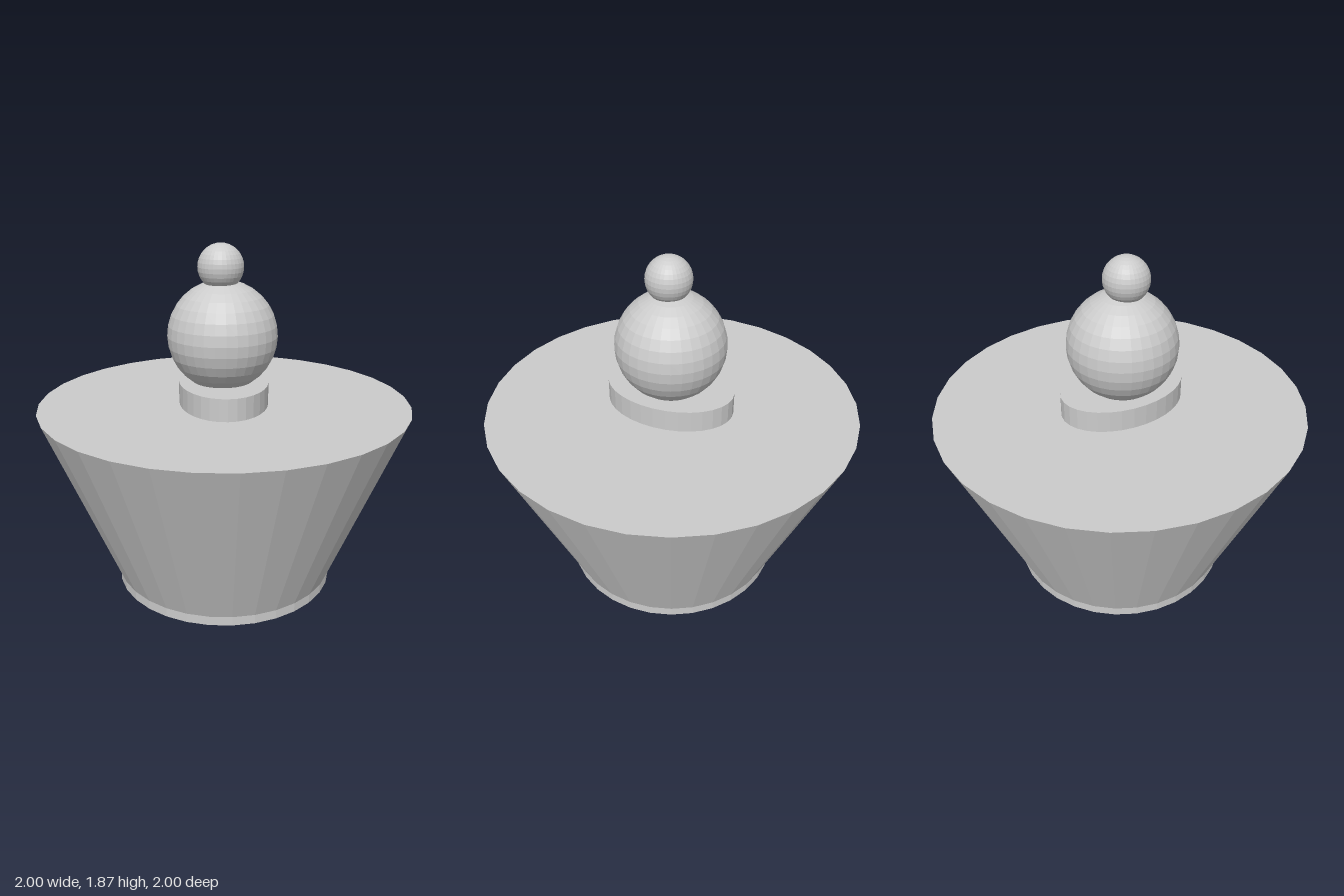
import * as THREE from 'three';

const SIDES = 32;

export function createModel() {
  const group = new THREE.Group();
  const material = new THREE.MeshStandardMaterial({ color: 0xcccccc, flatShading: true });

  function add(name, geometry, x = 0, y = 0, z = 0) {
    const mesh = new THREE.Mesh(geometry, material);
    mesh.name = name;
    mesh.position.set(x, y, z);
    group.add(mesh);
    return mesh;
  }

  // Flared body: conical hollow underneath, short collar, sloping wall, flat top
  const profile = [[0, 0.43], [0.605, 0], [0.605, 0.05], [1, 1.02], [0, 1.02]]
    .map(([r, y]) => new THREE.Vector2(r, y));
  add('body', new THREE.LatheGeometry(profile, SIDES));

  // Tapered core, seen inside the hollow
  const core = new THREE.CylinderGeometry(0.29, 0.21, 0.93, SIDES);
  add('core', core, 0, 0.555, 0);

  // Oval plate under the knob
  const plate = new THREE.CylinderGeometry(1, 1, 0.12, SIDES);
  plate.scale(0.24, 1, 0.35);
  add('ovalPlate', plate, -0.005, 1.08, 0.01);

  // Stacked ball knob
  add('largeBall', new THREE.SphereGeometry(0.292, SIDES, 16), -0.01, 1.385, 0.01);
  add('smallBall', new THREE.SphereGeometry(0.12, SIDES, 16), -0.02, 1.745, 0.025);

  return group;
}
